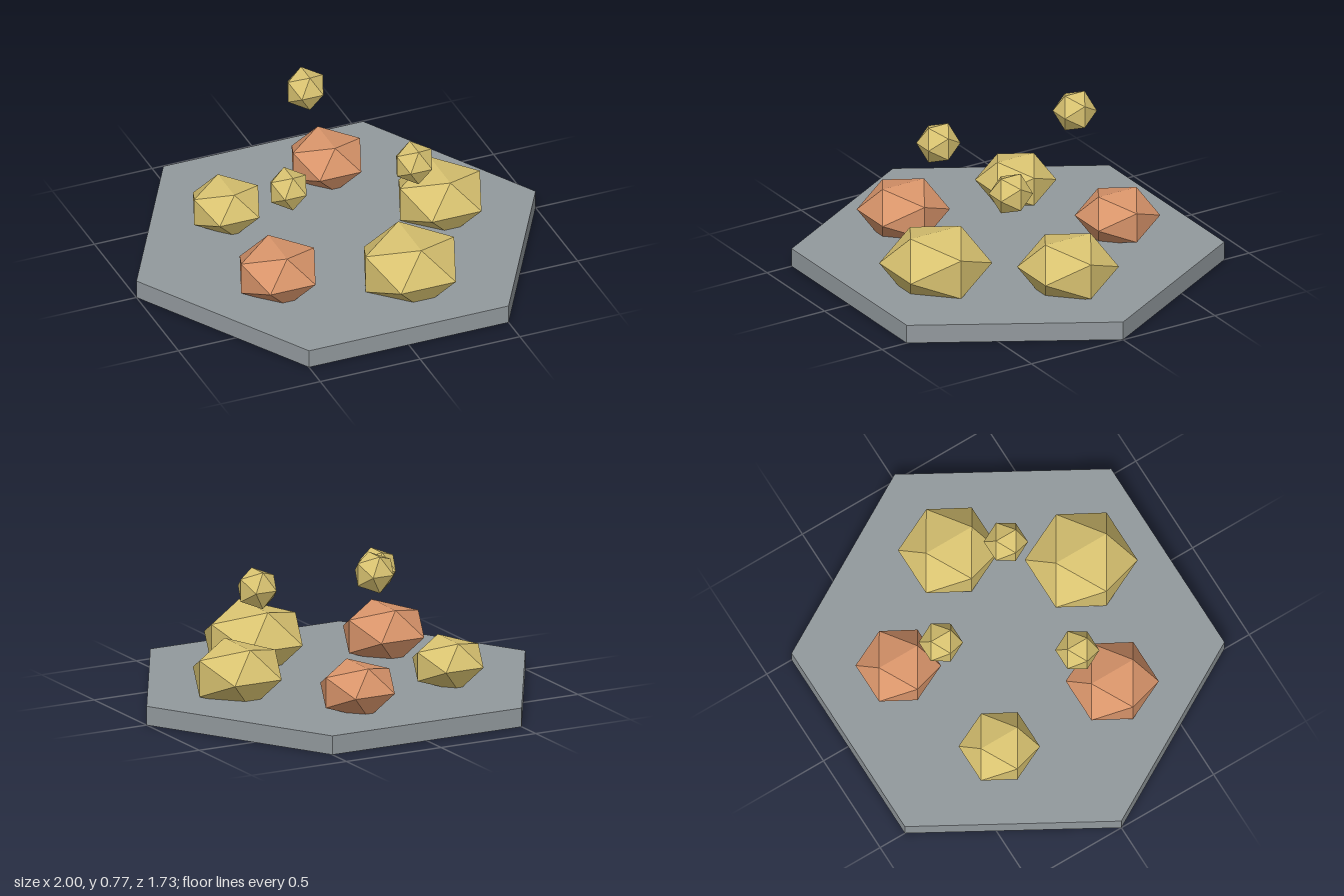
import * as THREE from 'three';

export function createModel() {
  const model = new THREE.Group();
  const material = (name, color) => {
    const m = new THREE.MeshStandardMaterial({ color, flatShading: true });
    m.name = name;
    return m;
  };
  const stone = material('stone grey', 0x92999d);
  const gold = material('gold', 0xd8c270);
  const copper = material('copper', 0xd8946a);

  // Hexagonal base with corners on the x axis
  const plate = new THREE.CylinderGeometry(1, 1, 0.09, 6);
  plate.rotateY(Math.PI / 6).translate(0, 0.045, 0);
  const base = new THREE.Mesh(plate, stone);
  base.name = 'hexBase';
  model.add(base);

  // Unit nugget, scaled so its half-width is 1
  const nugget = new THREE.IcosahedronGeometry(1, 0).rotateY(Math.PI / 2);
  nugget.computeBoundingBox();
  const fit = 1 / nugget.boundingBox.max.x;
  nugget.scale(fit, fit, fit);

  const addNugget = (name, mat, half, squash, x, y, z) => {
    const mesh = new THREE.Mesh(nugget, mat);
    mesh.name = name;
    mesh.scale.set(half, half * squash, half);
    mesh.position.set(x, y, z);
    model.add(mesh);
  };

  // Ring of five flattened nuggets, partly sunk into the base
  [[0.2, gold], [0.222, gold], [0.183, copper], [0.16, gold], [0.168, copper]].forEach(([half, mat], i) => {
    const a = (i * Math.PI * 2) / 5;
    addNugget(`groundNugget${i + 1}`, mat, half, 0.7, 0.521 * Math.cos(a), 0.184, 0.521 * Math.sin(a));
  });

  // Three small nuggets floating above
  [[0.315, 0.52, 0.182], [-0.315, 0.532, 0.182], [0, 0.685, -0.364]].forEach((p, i) => {
    addNugget(`floatingNugget${i + 1}`, gold, 0.087, 1, ...p);
  });

  return model;
}
